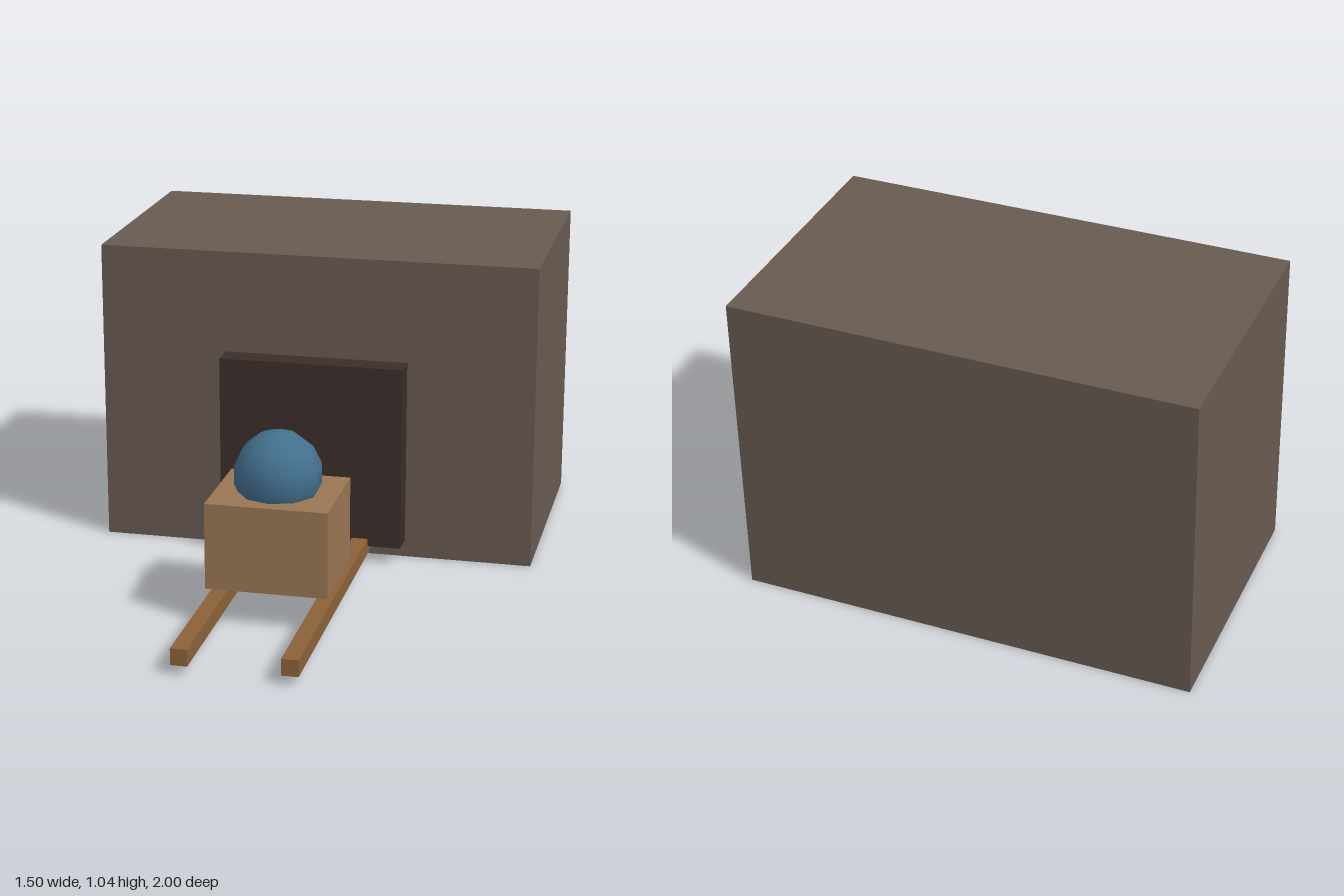
import * as THREE from 'three';

const material = (color) => new THREE.MeshStandardMaterial({ color });

// Box given by its minimum and maximum corners
function addBox(group, name, mat, [x0, y0, z0], [x1, y1, z1]) {
  const mesh = new THREE.Mesh(new THREE.BoxGeometry(x1 - x0, y1 - y0, z1 - z0), mat);
  mesh.position.set((x0 + x1) / 2, (y0 + y1) / 2, (z0 + z1) / 2);
  mesh.name = name;
  group.add(mesh);
}

export function createModel() {
  const model = new THREE.Group();
  model.name = 'tunnelWithCart';

  // Large block with a dark doorway slab on its front
  addBox(model, 'building', material(0x685a51), [-0.75, 0, -1], [0.75, 1.045, -0.13]);
  addBox(model, 'doorway', material(0x3b2d29), [-0.315, 0.06, -0.22], [0.315, 0.695, -0.042]);

  // Pair of rails running out of the doorway
  const wood = material(0x8b6239);
  for (const side of [-1, 1]) {
    const x = side * 0.174;
    addBox(model, side > 0 ? 'leftRail' : 'rightRail', wood,
      [x - 0.027, 0.031, -0.3], [x + 0.027, 0.086, 1]);
  }

  // Cart above the rails, loaded with a faceted-outline ball
  addBox(model, 'cart', material(0x997654), [-0.2, 0.12, 0.247], [0.2, 0.408, 0.593]);
  const ball = new THREE.Mesh(
    new THREE.SphereGeometry(0.145, 10, 7).rotateY(Math.PI / 2), material(0x43708f));
  ball.position.set(0, 0.465, 0.42);
  ball.name = 'cargoBall';
  model.add(ball);

  return model;
}
